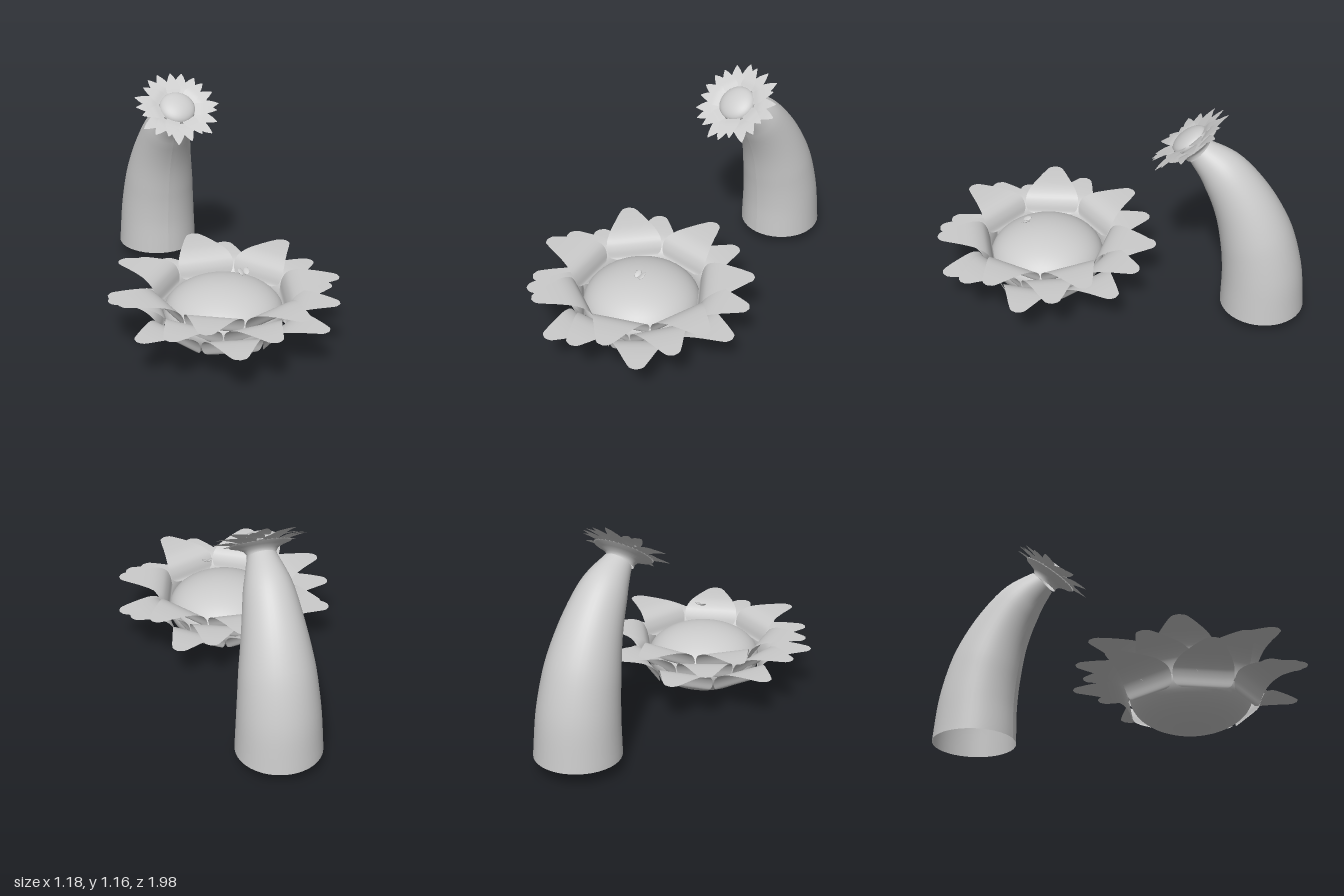
import * as THREE from 'three';

const material = new THREE.MeshStandardMaterial({ color: 0xcccccc, side: THREE.DoubleSide });
const rad = THREE.MathUtils.degToRad;

function addMesh(parent, geometry, name) {
  const mesh = new THREE.Mesh(geometry, material);
  mesh.name = name;
  parent.add(mesh);
  return mesh;
}

// Petal sheet growing along +z; each profile point is [reach, height, halfWidth]
function petalGeometry(profile) {
  const curve = new THREE.CatmullRomCurve3(profile.map(p => new THREE.Vector3(...p)));
  const geometry = new THREE.PlaneGeometry(2, 1, 8, 28);
  const pos = geometry.attributes.position;
  for (let i = 0; i < pos.count; i++) {
    const u = pos.getX(i);
    const p = curve.getPoint(pos.getY(i) + 0.5);
    pos.setXYZ(i, u * p.z, p.y, p.x);
  }
  geometry.computeVertexNormals();
  return geometry;
}

// Seven petals around the y axis; phase is measured clockwise from the back
function petalRing(parent, geometry, phase, y, scale, name) {
  const ring = new THREE.Group();
  ring.name = name;
  ring.position.y = y;
  for (let i = 0; i < 7; i++) {
    const petal = addMesh(ring, geometry, 'petal');
    petal.rotation.y = Math.PI - rad(phase + i * 360 / 7);
    petal.scale.setScalar(scale);
  }
  parent.add(ring);
}

// Tapered tube in the yz plane; each section is [y, z, radius]
function stalkGeometry(sections) {
  const path = new THREE.CatmullRomCurve3(sections.map(([y, z]) => new THREE.Vector3(0, y, z)));
  const radii = new THREE.CatmullRomCurve3(sections.map(s => new THREE.Vector3(s[2], 0, 0)));
  const geometry = new THREE.CylinderGeometry(1, 1, 1, 40, 28, true);
  const pos = geometry.attributes.position;
  for (let i = 0; i < pos.count; i++) {
    const t = pos.getY(i) + 0.5;
    const c = path.getPoint(t), d = path.getTangent(t), r = radii.getPoint(t).x;
    if (t < 0.001) d.set(0, 1, 0);
    const x = pos.getX(i) * r, s = pos.getZ(i) * r;
    pos.setXYZ(i, x, c.y - d.z * s, c.z + d.y * s);
  }
  geometry.computeVertexNormals();
  return geometry;
}

export function createModel() {
  const model = new THREE.Group();

  // Large open flower with a domed centre
  const flower = new THREE.Group();
  flower.name = 'largeFlower';
  flower.position.set(-0.005, 0, 0.4);
  model.add(flower);
  const centre = addMesh(flower, new THREE.SphereGeometry(1, 48, 32), 'flowerCentre');
  centre.scale.set(0.305, 0.172, 0.305);
  centre.position.y = 0.172;

  const largePetal = petalGeometry([
    [0.295, 0, 0.1], [0.302, 0.012, 0.132], [0.312, 0.05, 0.147], [0.335, 0.09, 0.146],
    [0.385, 0.118, 0.125], [0.46, 0.128, 0.09], [0.54, 0.13, 0.053], [0.575, 0.13, 0.032],
    [0.587, 0.13, 0.003],
  ]);
  petalRing(flower, largePetal, 346, 0.1, 1.01, 'lowerPetals');
  petalRing(flower, largePetal, 328, 0.163, 1, 'middlePetals');
  petalRing(flower, largePetal, 2, 0.225, 0.99, 'upperPetals');

  // Tiny floating pair of leaflets above the flower
  const leaflets = new THREE.Group();
  leaflets.name = 'floatingLeaflets';
  leaflets.position.set(0.067, 0.428, 0.485);
  leaflets.rotation.x = rad(20);
  for (const side of [-1, 1]) {
    const leaflet = addMesh(leaflets, new THREE.SphereGeometry(1, 16, 10), 'leaflet');
    leaflet.scale.set(0.016, 0.005, 0.024);
    leaflet.position.x = side * 0.014;
    leaflet.rotation.z = side * 0.35;
  }
  model.add(leaflets);

  // Thick bent stalk, open at the bottom
  addMesh(model, stalkGeometry([
    [0.075, -0.78, 0.219], [0.29, -0.768, 0.207], [0.5, -0.725, 0.188],
    [0.69, -0.648, 0.156], [0.85, -0.54, 0.122], [0.955, -0.418, 0.073],
  ]), 'stalk').position.x = -0.005;

  // Small flower head tilted forward on the stalk
  const head = new THREE.Group();
  head.name = 'smallFlower';
  head.position.set(-0.008, 1.0, -0.37);
  head.rotation.x = rad(37);
  model.add(head);
  const cup = [[0.074, -0.066], [0.073, -0.05], [0.085, -0.034], [0.115, -0.02], [0.15, -0.01], [0.155, -0.004], [0, 0.002]];
  addMesh(head, new THREE.LatheGeometry(cup.map(p => new THREE.Vector2(...p)), 40), 'headCup');
  const dome = addMesh(head, new THREE.SphereGeometry(1, 32, 20), 'headCentre');
  dome.scale.set(0.098, 0.045, 0.098);
  dome.position.y = 0.012;

  const smallPetal = petalGeometry([
    [0.09, 0, 0.03], [0.105, 0.004, 0.041], [0.135, 0.012, 0.042], [0.17, 0.016, 0.03],
    [0.2, 0.018, 0.018], [0.228, 0.018, 0.002],
  ]);
  petalRing(head, smallPetal, 346, -0.008, 1.02, 'outerHeadPetals');
  petalRing(head, smallPetal, 328, 0.006, 0.98, 'middleHeadPetals');
  petalRing(head, smallPetal, 2, 0.02, 0.92, 'innerHeadPetals');

  return model;
}
